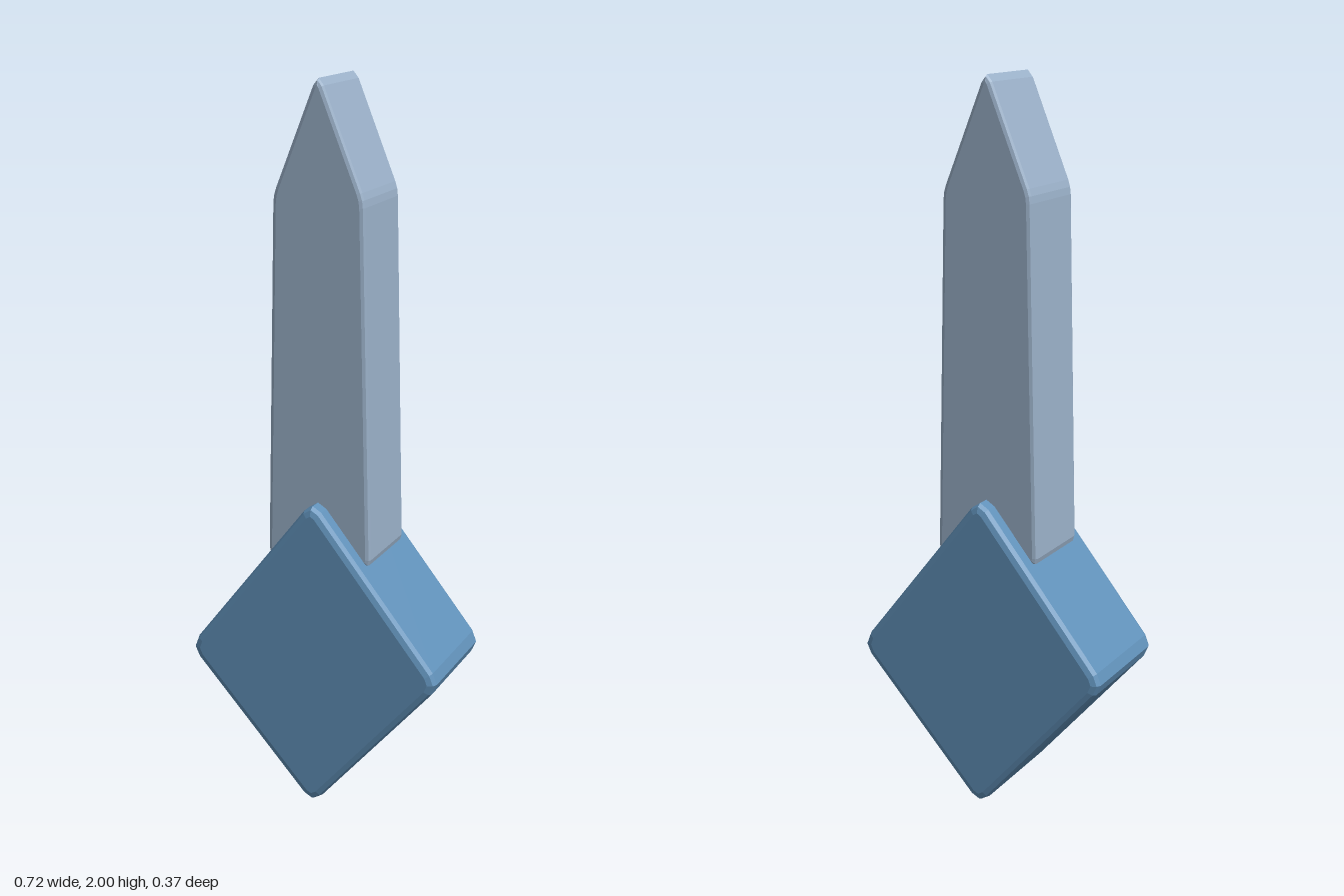
import * as THREE from 'three';

// Shape with each corner [x, y, trim] rounded into two small facets
function facetedShape(corners) {
  const points = [];
  const n = corners.length;
  corners.forEach(([x, y, trim], i) => {
    const c = new THREE.Vector2(x, y);
    const toward = ([px, py]) =>
      new THREE.Vector2(px, py).sub(c).setLength(trim).add(c);
    const a = toward(corners[(i + n - 1) % n]);
    const b = toward(corners[(i + 1) % n]);
    const mid = a.clone().add(b).multiplyScalar(0.25).addScaledVector(c, 0.5);
    points.push(a, mid, b);
  });
  return new THREE.Shape(points);
}

// Bevelled slab of total thickness `depth`, centred on z = 0
function slab(name, corners, depth, bevel, material) {
  const geometry = new THREE.ExtrudeGeometry(facetedShape(corners), {
    depth: depth - 2 * bevel,
    bevelEnabled: true,
    bevelThickness: bevel,
    bevelSize: bevel,
    bevelOffset: -bevel,
    bevelSegments: 2,
  });
  geometry.translate(0, 0, bevel - depth / 2);
  geometry.computeVertexNormals();
  const mesh = new THREE.Mesh(geometry, material);
  mesh.name = name;
  return mesh;
}

export function createModel() {
  const steel = new THREE.MeshStandardMaterial({ color: 0x9ab0c8 });
  steel.name = 'pale steel';
  const blue = new THREE.MeshStandardMaterial({ color: 0x6090b8 });
  blue.name = 'steel blue';

  const group = new THREE.Group();
  group.name = 'spike';

  // Diamond-shaped base block
  group.add(slab('base', [
    [0, -0.012, 0.04], [0.375, 0.41, 0.04], [0, 0.885, 0.04], [-0.375, 0.41, 0.04],
  ], 0.367, 0.02, blue));

  // Tapered blade rising to a chisel tip
  group.add(slab('blade', [
    [-0.151, 0.7, 0.02], [0.151, 0.7, 0.02], [0.129, 1.695, 0.02],
    [0, 2.018, 0.04], [-0.129, 1.695, 0.02],
  ], 0.256, 0.012, steel));

  return group;
}
